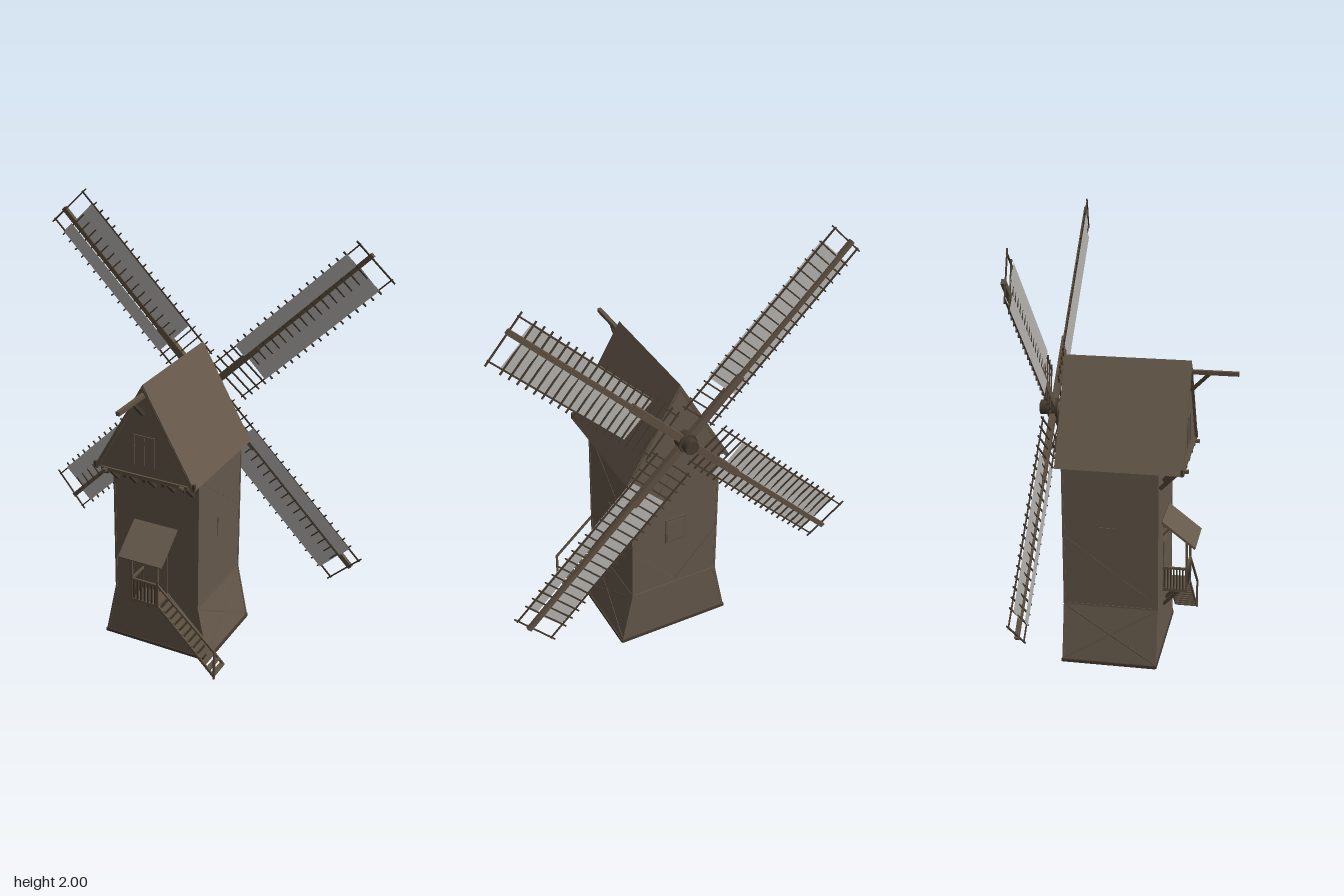
import * as THREE from 'three';

const mat = (name, color, side = THREE.FrontSide) => {
  const m = new THREE.MeshStandardMaterial({ color, side });
  m.name = name;
  return m;
};

export function createModel() {
  const boards = mat('boards', 0x65584a, THREE.DoubleSide);
  const timber = mat('timber', 0x5e5141);
  const darkTimber = mat('darkTimber', 0x453a2f);
  const cloth = mat('sailCloth', 0xb6b4b0, THREE.DoubleSide);
  const V = (x, y, z) => new THREE.Vector3(x, y, z);
  const up = V(0, 1, 0);

  const group = (name, parent) => {
    const g = new THREE.Group();
    g.name = name;
    parent.add(g);
    return g;
  };
  const add = (parent, name, geo, m, x = 0, y = 0, z = 0) => {
    const mesh = new THREE.Mesh(geo, m);
    mesh.name = name;
    mesh.position.set(x, y, z);
    parent.add(mesh);
    return mesh;
  };
  // box given by its limits
  const block = (parent, name, m, x0, x1, y0, y1, z0, z1) =>
    add(parent, name, new THREE.BoxGeometry(x1 - x0, y1 - y0, z1 - z0), m, (x0 + x1) / 2, (y0 + y1) / 2, (z0 + z1) / 2);
  // square-cut timber running between two points of its parent
  const beam = (parent, name, m, a, b, w, d = w) => {
    const mesh = add(parent, name, new THREE.BoxGeometry(w, d, a.distanceTo(b)), m);
    mesh.position.copy(a).add(b).multiplyScalar(0.5);
    mesh.quaternion.setFromRotationMatrix(new THREE.Matrix4().lookAt(b, a, up));
  };

  const model = new THREE.Group();
  model.name = 'windmill';
  const zF = 0.125, zB = -0.305;

  // Tower walls: stacked rings, flared at the foot and open below
  const tower = group('tower', model);
  const levels = [[0.27, 0], [0.215, 0.27], [0.215, 0.95]];
  const pos = [];
  const ring = ([w, y]) => [V(-w, y, zF), V(w, y, zF), V(w, y, zB), V(-w, y, zB)];
  for (let i = 0; i < levels.length - 1; i++) {
    const a = ring(levels[i]), b = ring(levels[i + 1]);
    for (let k = 0; k < 4; k++) {
      const n = (k + 1) % 4;
      for (const p of [a[k], a[n], b[n], a[k], b[n], b[k]]) pos.push(...p.toArray());
    }
  }
  const wallGeo = new THREE.BufferGeometry();
  wallGeo.setAttribute('position', new THREE.Float32BufferAttribute(pos, 3));
  wallGeo.computeVertexNormals();
  add(tower, 'walls', wallGeo, boards);
  block(tower, 'floor', boards, -0.21, 0.21, 0.265, 0.275, zB + 0.005, zF - 0.005);

  // Corner trims, sills and wall braces
  for (const s of [-1, 1]) {
    for (const z of [zF - 0.003, zB + 0.003]) {
      beam(tower, 'footCornerPost', boards, V(s * 0.267, 0.003, z), V(s * 0.212, 0.27, z), 0.01);
      beam(tower, 'cornerPost', boards, V(s * 0.212, 0.27, z), V(s * 0.212, 0.95, z), 0.01);
    }
    beam(tower, 'sideSill', darkTimber, V(s * 0.268, 0.007, zB), V(s * 0.268, 0.007, zF), 0.014);
    beam(tower, 'sideBelt', boards, V(s * 0.213, 0.272, zB), V(s * 0.213, 0.272, zF), 0.008);
    beam(tower, 'sideBraceUpper', boards, V(s * 0.213, 0.93, zF), V(s * 0.213, 0.61, zB), 0.007);
    beam(tower, 'sideBraceLower', boards, V(s * 0.213, 0.61, zB), V(s * 0.213, 0.29, zF), 0.007);
    for (const [za, zb] of [[zF, zB], [zB, zF]])
      beam(tower, 'footBrace', boards, V(s * 0.265, 0.015, za), V(s * 0.213, 0.265, zb), 0.007);
    beam(tower, 'backBraceUpper', boards, V(0, 0.93, zB), V(s * 0.21, 0.66, zB), 0.008);
    beam(tower, 'backBraceLower', boards, V(0, 0.29, zB), V(s * 0.21, 0.52, zB), 0.008);
    block(tower, 'sideHatch', boards, s * 0.215 - 0.003, s * 0.215 + 0.003, 0.56, 0.66, -0.15, -0.07);
  }
  for (const z of [zB + 0.002, zF - 0.002])
    beam(tower, 'endSill', darkTimber, V(-0.272, 0.007, z), V(0.272, 0.007, z), 0.014);
  beam(tower, 'backBelt', boards, V(-0.213, 0.272, zB), V(0.213, 0.272, zB), 0.008);

  // Back window
  block(tower, 'backWindowFrame', timber, -0.05, 0.05, 0.53, 0.66, zB - 0.006, zB);
  block(tower, 'backWindowShutter', boards, -0.043, 0.043, 0.54, 0.65, zB - 0.009, zB - 0.005);

  // Gabled cap with roof slabs
  const cap = group('cap', model);
  const gable = new THREE.Shape([[-0.235, 0.945], [0.235, 0.945], [0, 1.365]].map(p => new THREE.Vector2(...p)));
  add(cap, 'gable', new THREE.ExtrudeGeometry(gable, { depth: 0.545, bevelEnabled: false }), boards, 0, 0, -0.318);
  for (const s of [-1, 1]) {
    const slab = new THREE.Shape([[0, 1.362], [0, 1.387], [s * 0.252, 0.942], [s * 0.235, 0.936]].map(p => new THREE.Vector2(...p)));
    add(cap, 'roofSlab', new THREE.ExtrudeGeometry(slab, { depth: 0.565, bevelEnabled: false }), boards, 0, 0, -0.328);
    for (const z of [0.235, -0.326])
      beam(cap, 'bargeBoard', timber, V(s * 0.24, 0.945, z), V(0, 1.369, z), 0.008);
    beam(cap, 'eaveBracket', darkTimber, V(s * 0.245, 0.97, 0.232), V(s * 0.245, 0.94, 0.232), 0.012);
    beam(cap, 'gableDoorSide', boards, V(s * 0.05, 1.0, 0.228), V(s * 0.05, 1.14, 0.228), 0.007);
    block(cap, 'ledgeBracket', timber, s * 0.19 - 0.009, s * 0.19 + 0.009, 0.936, 0.95, 0.2, 0.255);
  }
  beam(cap, 'gableDoorTop', boards, V(-0.053, 1.14, 0.228), V(0.053, 1.14, 0.228), 0.007);
  beam(cap, 'gableDoorSplit', boards, V(0, 1.0, 0.228), V(0, 1.14, 0.228), 0.006);
  block(cap, 'frontLedge', timber, -0.215, 0.215, 0.936, 0.952, 0.11, 0.236);

  // Brackets below the overhang
  for (const x of [-0.19, -0.095, 0, 0.095, 0.19]) {
    beam(cap, 'overhangBracket', darkTimber, V(x, 0.935, 0.21), V(x, 0.855, 0.13), 0.016);
    block(cap, 'joistEnd', darkTimber, x - 0.009, x + 0.009, 0.922, 0.94, 0.12, 0.235);
  }

  // Hoist beam
  beam(cap, 'hoistBeam', timber, V(0, 1.336, 0.2), V(0, 1.336, 0.445), 0.018);
  beam(cap, 'hoistBrace', darkTimber, V(0, 1.33, 0.315), V(0, 1.25, 0.235), 0.015);

  // Porch with canopy, landing and railing
  const porch = group('porch', model);
  block(porch, 'door', boards, -0.06, 0.06, 0.31, 0.54, zF, zF + 0.006);
  beam(porch, 'canopy', boards, V(0, 0.657, 0.125), V(0, 0.538, 0.278), 0.22, 0.01);
  block(porch, 'landing', timber, -0.07, 0.07, 0.295, 0.31, zF, 0.24);
  for (const s of [-1, 1]) {
    block(porch, 'post', timber, s * 0.066 - 0.005, s * 0.066 + 0.005, 0.3, 0.565, 0.23, 0.24);
    beam(porch, 'canopyBeam', timber, V(s * 0.066, 0.62, 0.125), V(s * 0.066, 0.62, 0.165), 0.01);
    beam(porch, 'canopyBrace', timber, V(s * 0.066, 0.575, 0.125), V(s * 0.066, 0.62, 0.165), 0.008);
    beam(porch, 'landingBracket', darkTimber, V(s * 0.035, 0.298, 0.21), V(s * 0.035, 0.21, 0.125), 0.013);
  }
  beam(porch, 'frontRail', timber, V(-0.07, 0.413, 0.235), V(0.07, 0.413, 0.235), 0.01);
  beam(porch, 'sideRail', timber, V(-0.066, 0.413, 0.125), V(-0.066, 0.413, 0.235), 0.01);
  for (let i = 0; i < 7; i++) {
    const x = -0.054 + i * 0.018, z = 0.135 + i * 0.014;
    block(porch, 'frontBaluster', darkTimber, x - 0.004, x + 0.004, 0.31, 0.41, 0.231, 0.239);
    block(porch, 'sideBaluster', darkTimber, -0.07, -0.062, 0.31, 0.41, z - 0.003, z + 0.003);
  }

  // Stair down to the left
  const stair = group('stair', model);
  for (const z of [0.13, 0.232])
    beam(stair, 'stringer', timber, V(0.065, 0.3, z), V(0.355, 0.012, z), 0.008, 0.012);
  for (let i = 1; i <= 12; i++) {
    const t = i / 12, x = 0.065 + 0.283 * t, y = 0.302 - 0.287 * t;
    block(stair, 'tread', timber, x - 0.012, x + 0.012, y - 0.003, y + 0.004, 0.13, 0.232);
  }
  beam(stair, 'handrail', timber, V(0.066, 0.415, 0.235), V(0.358, 0.145, 0.235), 0.009);
  block(stair, 'newelPost', timber, 0.353, 0.362, 0, 0.148, 0.231, 0.24);

  // Windshaft and hub
  const rotor = group('rotor', model);
  rotor.position.set(0, 1.135, -0.382);
  const cyl = (name, r0, r1, len, m, z) =>
    add(rotor, name, new THREE.CylinderGeometry(r0, r1, len, 8).rotateX(Math.PI / 2), m, 0, 0, z);
  cyl('windshaft', 0.018, 0.036, 0.05, timber, 0.035);
  cyl('hub', 0.045, 0.045, 0.045, darkTimber, 0);
  cyl('hubNose', 0.034, 0.034, 0.05, darkTimber, -0.035);

  // Four sails: stock along +y, broad side towards +x
  const barZ = v => -0.12 * (v - 0.055);
  const barHeights = Array.from({ length: 20 }, (_, i) => 0.12 + i * 0.0455).concat(1.062);
  for (let k = 0; k < 4; k++) {
    const sail = group('sail', rotor);
    sail.rotation.z = Math.PI / 4 + k * Math.PI / 2;
    block(sail, 'stockRoot', timber, -0.017, 0.017, 0, 0.36, -0.014, 0.012);
    block(sail, 'stock', timber, -0.011, 0.011, 0.3, 1.072, -0.009, 0.009);
    for (const u of barHeights)
      beam(sail, 'sailBar', darkTimber, V(-0.088, u, barZ(-0.088)), V(0.152, u, barZ(0.152)), 0.006);
    for (const v of [-0.068, 0.13])
      beam(sail, 'sailRail', darkTimber, V(v, 0.11, barZ(v)), V(v, 1.068, barZ(v)), 0.006);
    const panel = (name, v0, v1, z) =>
      add(sail, name, new THREE.PlaneGeometry(v1 - v0, 0.715), cloth, (v0 + v1) / 2, 0.635, z);
    panel('broadCloth', 0.008, 0.134, 0.002);
    panel('narrowCloth', -0.072, -0.008, 0.02);
  }
  return model;
}
